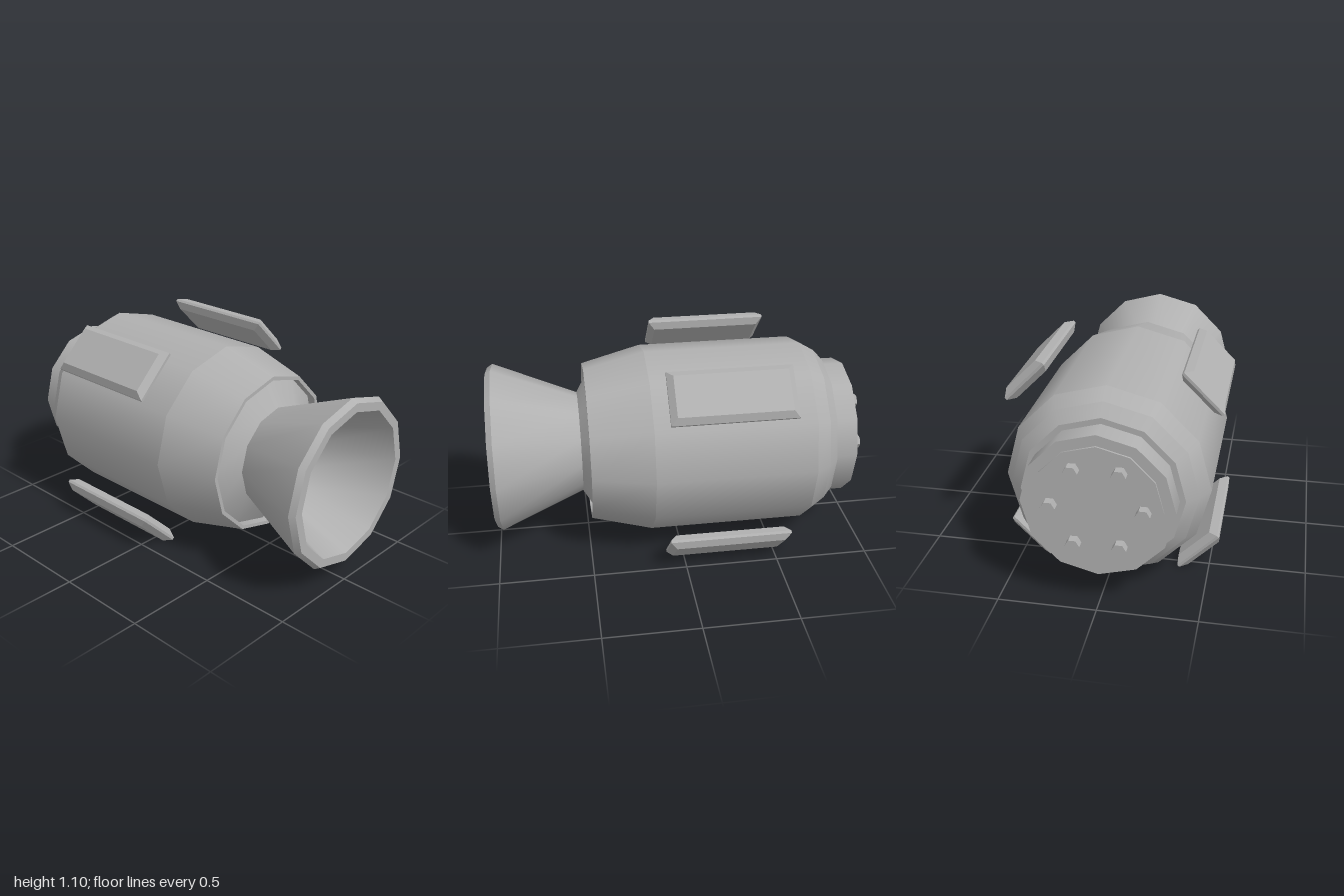
import * as THREE from 'three';
import { mergeGeometries } from 'three/addons/utils/BufferGeometryUtils.js';
import { ConvexGeometry } from 'three/addons/geometries/ConvexGeometry.js';

const SIDES = 12;

// Lathe around z: each [z, radius] band is smooth around the axis and creased against its neighbours
function turned(profile) {
  const bands = [];
  for (let i = 0; i < profile.length - 1; i++) {
    const points = [profile[i], profile[i + 1]].map(([z, r]) => new THREE.Vector2(r, z));
    bands.push(new THREE.LatheGeometry(points, SIDES));
  }
  return mergeGeometries(bands).rotateX(Math.PI / 2);
}

// Slab with chamfered edges on both faces, lying flat with its normal along y
function chamferedSlab(width, thickness, length, bevel) {
  const points = [];
  const w = width / 2, t = thickness / 2, l = length / 2;
  for (const sx of [-1, 1]) for (const sy of [-1, 1]) for (const sz of [-1, 1]) {
    points.push(new THREE.Vector3(sx * (w - bevel), sy * t, sz * (l - bevel)));
    points.push(new THREE.Vector3(sx * w, sy * 0.007, sz * l));
  }
  return new ConvexGeometry(points);
}

export function createModel() {
  const metal = new THREE.MeshStandardMaterial({ color: 0xb0b0b0 });
  metal.name = 'grey metal';
  const glow = new THREE.MeshStandardMaterial({ color: 0xd9c497 });
  glow.name = 'pale tan';

  const model = new THREE.Group();
  model.name = 'thruster';
  const engine = new THREE.Group();
  engine.name = 'engine';
  engine.position.y = 0.545;
  model.add(engine);

  const add = (name, geometry, material = metal) => {
    const mesh = new THREE.Mesh(geometry, material);
    mesh.name = name;
    engine.add(mesh);
    return mesh;
  };

  // Barrel with domed back and a recessed front
  add('body', turned([
    [-0.825, 0.36], [-0.825, 0.405], [-0.77, 0.465], [-0.69, 0.513], [0.16, 0.513],
    [0.485, 0.43], [0.485, 0.41], [0.44, 0.41], [0.525, 0.27],
  ]));

  // Flared bell with a chamfered lip and an open inside
  add('nozzle', turned([
    [0.52, 0.27], [0.97, 0.455], [1, 0.436], [1, 0.39], [0.59, 0.24], [0.59, 0.22],
  ]));
  add('nozzleCore', turned([[0.59, 0.222], [0.59, 0]]), glow);

  // Back cap, its raised lid and a ring of six hexagonal bolts
  add('backCap', turned([[-0.945, 0], [-0.945, 0.375], [-0.82, 0.375]]));
  add('backLid', turned([[-0.955, 0], [-0.955, 0.32], [-0.94, 0.32]]));
  const boltShape = new THREE.CylinderGeometry(0.036, 0.036, 0.05, 6).toNonIndexed();
  boltShape.rotateY(Math.PI / 6).rotateX(Math.PI / 2);
  boltShape.computeVertexNormals();
  for (let i = 0; i < 6; i++) {
    const a = (i * Math.PI) / 3;
    add('bolt', boltShape).position.set(0.225 * Math.cos(a), 0.225 * Math.sin(a), -0.975);
  }

  // Four floating side plates on the diagonals
  const plateShape = chamferedSlab(0.284, 0.074, 0.65, 0.032);
  for (let i = 0; i < 4; i++) {
    const a = Math.PI / 4 + (i * Math.PI) / 2;
    const plate = add('sidePlate', plateShape);
    plate.position.set(0.627 * Math.cos(a), 0.627 * Math.sin(a), -0.235);
    plate.rotation.z = a - Math.PI / 2;
  }
  return model;
}
